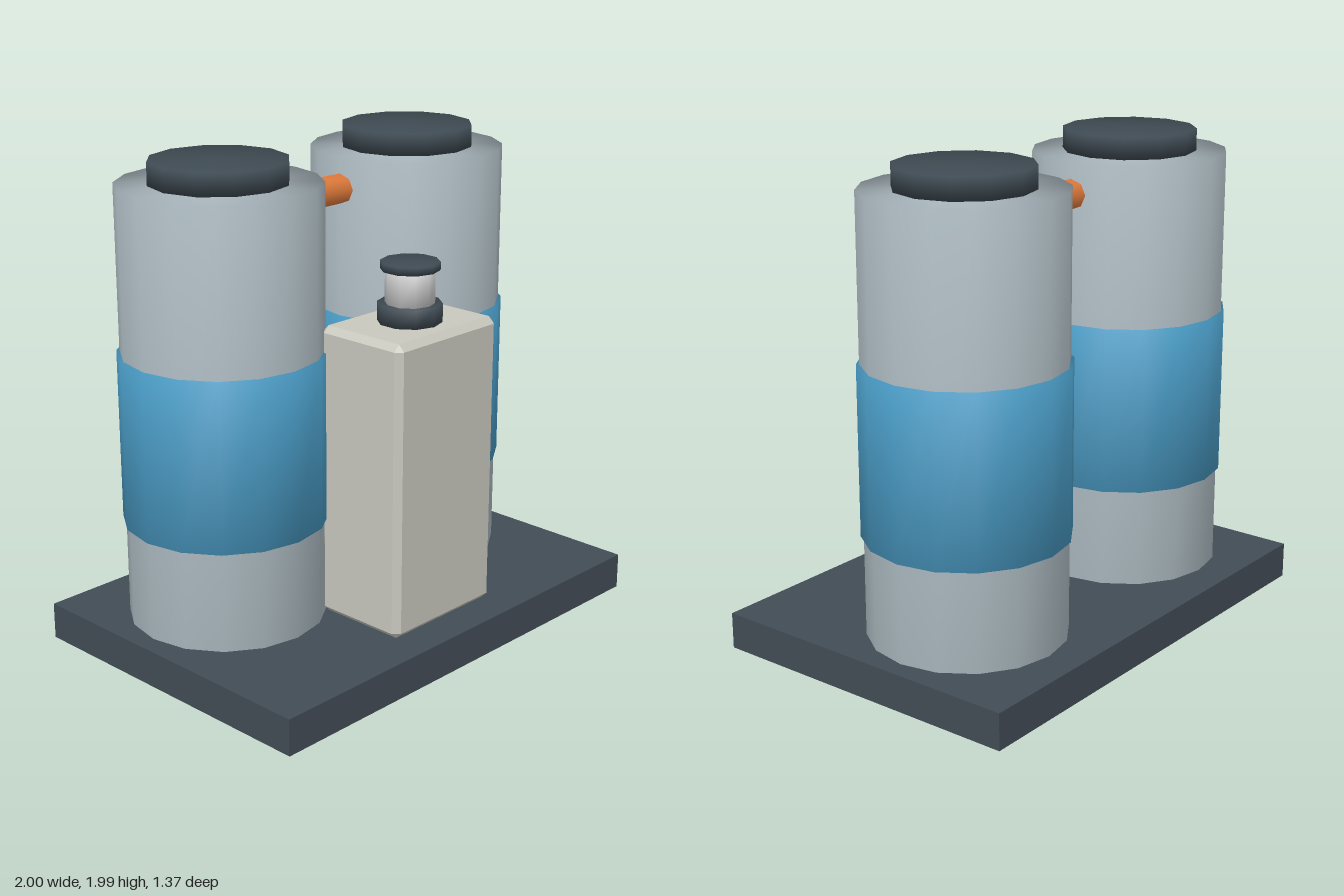
import * as THREE from 'three';
import { mergeVertices } from 'three/addons/utils/BufferGeometryUtils.js';
import { ConvexGeometry } from 'three/addons/geometries/ConvexGeometry.js';

const mat = (color) => new THREE.MeshStandardMaterial({ color });
const steel = mat(0xb0bec5);
const blue = mat(0x4a9cc6);
const dark = mat(0x3e4a52);
const slate = mat(0x424c55);
const copper = mat(0xe07b3c);
const cream = mat(0xc8c8be);
const white = mat(0xececec);

// Cylinder with normals blended over its rims
function softCylinder(radius, height, sides) {
  const g = new THREE.CylinderGeometry(radius, radius, height, sides);
  g.deleteAttribute('normal');
  g.deleteAttribute('uv');
  const merged = mergeVertices(g);
  merged.computeVertexNormals();
  return merged;
}

// Upright cylinder standing between two heights
function drum(name, radius, y0, y1, sides, material) {
  const m = new THREE.Mesh(softCylinder(radius, y1 - y0, sides), material);
  m.name = name;
  m.position.y = (y0 + y1) / 2;
  return m;
}

// Box with every edge chamfered by c
function chamferBox(w, h, d, c) {
  const pts = [];
  for (const sx of [-1, 1]) for (const sy of [-1, 1]) for (const sz of [-1, 1]) {
    for (let face = 0; face < 3; face++) {
      pts.push(new THREE.Vector3(
        sx * (w / 2 - (face === 0 ? 0 : c)),
        sy * (h / 2 - (face === 1 ? 0 : c)),
        sz * (d / 2 - (face === 2 ? 0 : c))));
    }
  }
  return new ConvexGeometry(pts);
}

export function createModel() {
  const model = new THREE.Group();
  model.name = 'twinTankUnit';

  // Base plate
  const base = new THREE.Mesh(new THREE.BoxGeometry(2, 0.15, 1.373), slate);
  base.name = 'basePlate';
  base.position.y = 0.075;
  model.add(base);

  // Two banded tanks with lids
  for (const side of [-1, 1]) {
    const tank = new THREE.Group();
    tank.name = side < 0 ? 'rightTank' : 'leftTank';
    tank.position.set(side * 0.525, 0, -0.15);
    tank.add(
      drum('tankBody', 0.399, 0.15, 1.905, 16, steel),
      drum('tankBand', 0.411, 0.56, 1.247, 16, blue),
      drum('tankLid', 0.273, 1.905, 1.994, 12, dark));
    model.add(tank);
  }

  // Pipe joining the tanks
  const pipe = new THREE.Mesh(softCylinder(0.062, 0.4, 8), copper);
  pipe.name = 'connectingPipe';
  pipe.rotation.z = Math.PI / 2;
  pipe.position.set(0, 1.778, -0.15);
  model.add(pipe);

  // Control cabinet
  const cabinet = new THREE.Mesh(chamferBox(0.573, 1.203, 0.416, 0.026), cream);
  cabinet.name = 'controlCabinet';
  cabinet.position.set(0, 0.752, 0.347);
  model.add(cabinet);

  // Valve on top of the cabinet
  const valve = new THREE.Group();
  valve.name = 'valve';
  valve.position.z = 0.348;
  valve.add(
    drum('valveCollar', 0.128, 1.353, 1.428, 10, dark),
    drum('valveNeck', 0.098, 1.428, 1.56, 10, white),
    drum('valveKnob', 0.117, 1.56, 1.592, 10, dark));
  model.add(valve);

  return model;
}
